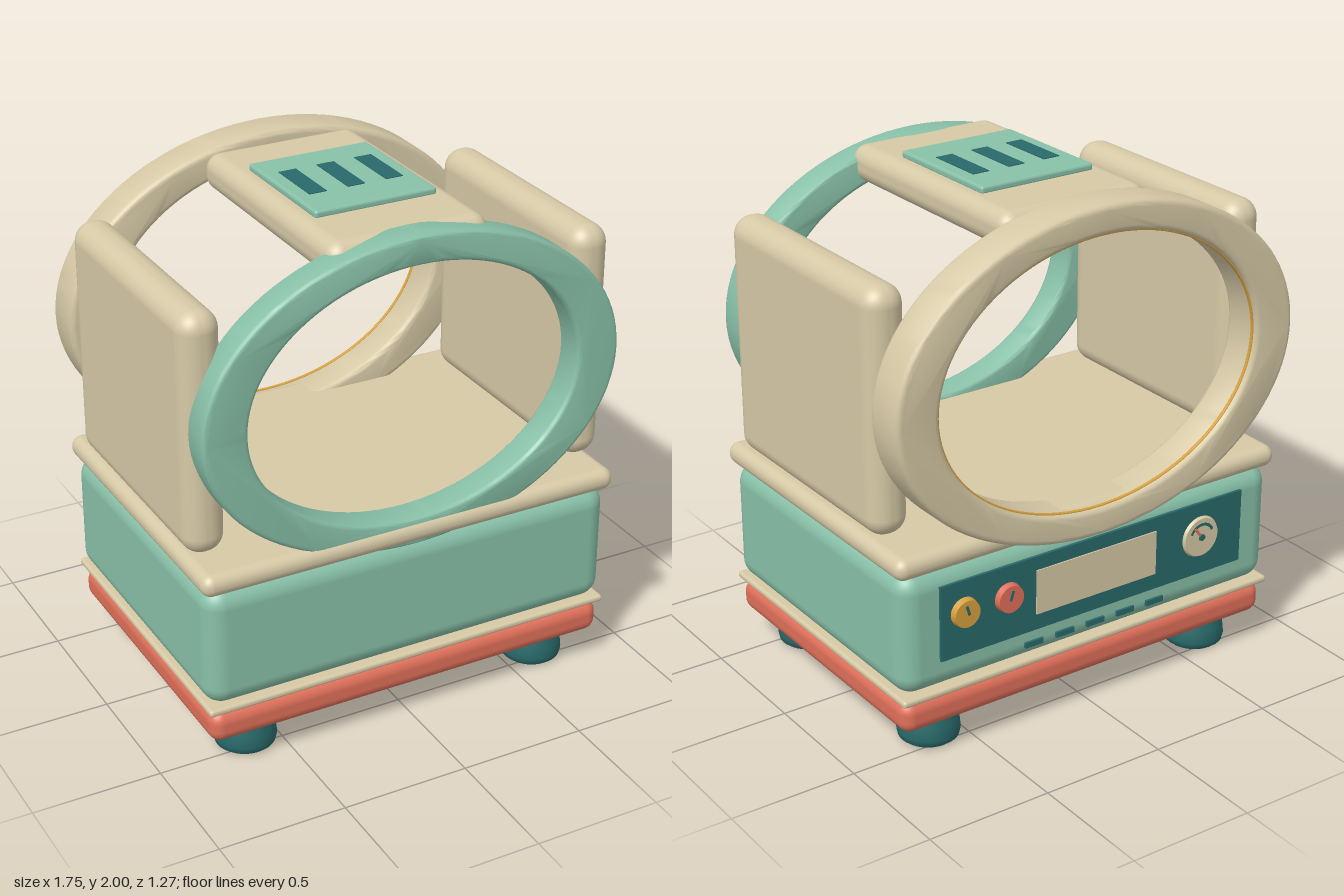
import * as THREE from 'three';
import { toCreasedNormals } from 'three/addons/utils/BufferGeometryUtils.js';
import { RoundedBoxGeometry } from 'three/addons/geometries/RoundedBoxGeometry.js';

const material = (name, color) => {
  const m = new THREE.MeshStandardMaterial({ color });
  m.name = name;
  return m;
};

export function createModel() {
  const cream = material('cream', 0xd6c9a6);
  const mint = material('mint', 0x88c0a8);
  const coral = material('coral', 0xe0705a);
  const teal = material('dark teal', 0x29696a);
  const gold = material('gold', 0xd6a03e);

  const model = new THREE.Group();
  model.name = 'machine';

  const add = (name, geometry, mat, x = 0, y = 0, z = 0, parent = model) => {
    const mesh = new THREE.Mesh(geometry, mat);
    mesh.name = name;
    mesh.position.set(x, y, z);
    parent.add(mesh);
    return mesh;
  };

  // Rounded box given by its limits on each axis
  const block = (name, mat, [x0, x1], [y0, y1], [z0, z1], radius) =>
    add(name, new RoundedBoxGeometry(x1 - x0, y1 - y0, z1 - z0, 5, radius), mat,
      (x0 + x1) / 2, (y0 + y1) / 2, (z0 + z1) / 2);

  // Oval ring with softened edges
  const ovalRing = (name, mat, outer, inner, [z0, z1], bevel) => {
    const shape = new THREE.Shape().absellipse(0, 0, outer[0], outer[1], 0, Math.PI * 2);
    shape.holes.push(new THREE.Path().absellipse(0, 0, inner[0], inner[1], 0, Math.PI * 2));
    const geometry = new THREE.ExtrudeGeometry(shape, {
      depth: z1 - z0 - 2 * bevel, curveSegments: 48, bevelEnabled: true,
      bevelThickness: bevel, bevelSize: bevel, bevelOffset: -bevel, bevelSegments: 4,
    });
    return add(name, toCreasedNormals(geometry, 0.8), mat, 0, 1.365, z0 + bevel);
  };

  // Base, trim plate, body and tray
  block('base', coral, [-0.835, 0.835], [0.13, 0.26], [-0.59, 0.615], 0.05);
  block('trimPlate', cream, [-0.845, 0.845], [0.262, 0.29], [-0.605, 0.62], 0.012);
  block('body', mint, [-0.845, 0.845], [0.285, 0.775], [-0.6, 0.62], 0.08);
  block('tray', cream, [-0.86, 0.86], [0.765, 0.852], [-0.61, 0.635], 0.042);

  // Feet, wider towards the ground
  const footProfile = [[0, 0], [0.1, 0], [0.115, 0.012], [0.12, 0.035], [0.115, 0.08], [0.1, 0.135], [0, 0.135]]
    .map(([r, y]) => new THREE.Vector2(r, y));
  const footGeometry = toCreasedNormals(new THREE.LatheGeometry(footProfile, 32).toNonIndexed(), 0.8);
  for (const x of [-0.63, 0.63]) {
    for (const z of [-0.425, 0.45]) add('foot', footGeometry, teal, x, 0, z);
  }

  // Upright side panels
  for (const [name, s] of [['leftPanel', 1], ['rightPanel', -1]]) {
    const xs = [s * 0.705, s * 0.865].sort((a, b) => a - b);
    block(name, cream, xs, [0.87, 1.81], [-0.47, 0.525], 0.075);
  }

  // Front and back rings
  ovalRing('frontRing', mint, [0.845, 0.61], [0.67, 0.5], [0.49, 0.62], 0.018);
  ovalRing('backRing', cream, [0.877, 0.635], [0.7, 0.525], [-0.64, -0.47], 0.022);
  ovalRing('goldLiner', gold, [0.71, 0.535], [0.695, 0.52], [-0.622, -0.61], 0.002);

  // Top bridge with its slotted badge
  block('topBridge', cream, [-0.32, 0.32], [1.83, 1.972], [-0.475, 0.56], 0.06);
  block('topBadge', mint, [-0.245, 0.245], [1.965, 1.997], [-0.225, 0.3], 0.012);
  for (const x of [-0.155, 0, 0.155]) {
    add('badgeSlot', new THREE.BoxGeometry(0.07, 0.006, 0.24), teal, x, 1.997, 0.03);
  }

  // Control panel on the back; its local +z points outward
  const controls = new THREE.Group();
  controls.name = 'controlPanel';
  controls.position.set(0, 0.56, -0.6);
  controls.rotation.y = Math.PI;
  model.add(controls);

  const plate = (name, mat, w, h, d, x, y, z) =>
    add(name, new THREE.BoxGeometry(w, h, d), mat, x, y, z, controls);
  const disc = (name, mat, r, d, x, y, z) =>
    add(name, new THREE.CylinderGeometry(r * 0.92, r, d, 32).rotateX(Math.PI / 2), mat, x, y, z, controls);

  plate('panelPlate', teal, 1.38, 0.3, 0.012, 0, 0, 0.004);
  plate('screen', cream, 0.55, 0.18, 0.006, 0, 0.005, 0.012);

  // Knobs with pointer marks
  for (const [name, mat, x, tilt] of [['goldKnob', gold, -0.59, 0.3], ['coralKnob', coral, -0.4, -0.3]]) {
    disc(name, mat, 0.058, 0.026, x, 0.025, 0.022);
    plate('knobMark', teal, 0.01, 0.04, 0.004, x, 0.04, 0.036).rotation.z = tilt;
  }

  // Gauge with a scale arc, needle and hub
  disc('gaugeFace', cream, 0.085, 0.012, 0.49, 0.01, 0.015);
  add('gaugeArc', new THREE.RingGeometry(0.048, 0.06, 24, 1, 0.4, 2.34), teal, 0.49, 0.01, 0.0225, controls);
  plate('gaugeNeedle', coral, 0.01, 0.06, 0.004, 0.475, 0.03, 0.023).rotation.z = 0.65;
  disc('gaugeHub', teal, 0.014, 0.008, 0.49, 0.01, 0.024);

  // Row of vents beneath the panel
  for (let i = -2; i <= 2; i++) plate('vent', teal, 0.08, 0.022, 0.02, i * 0.14, -0.205, 0);

  return model;
}
